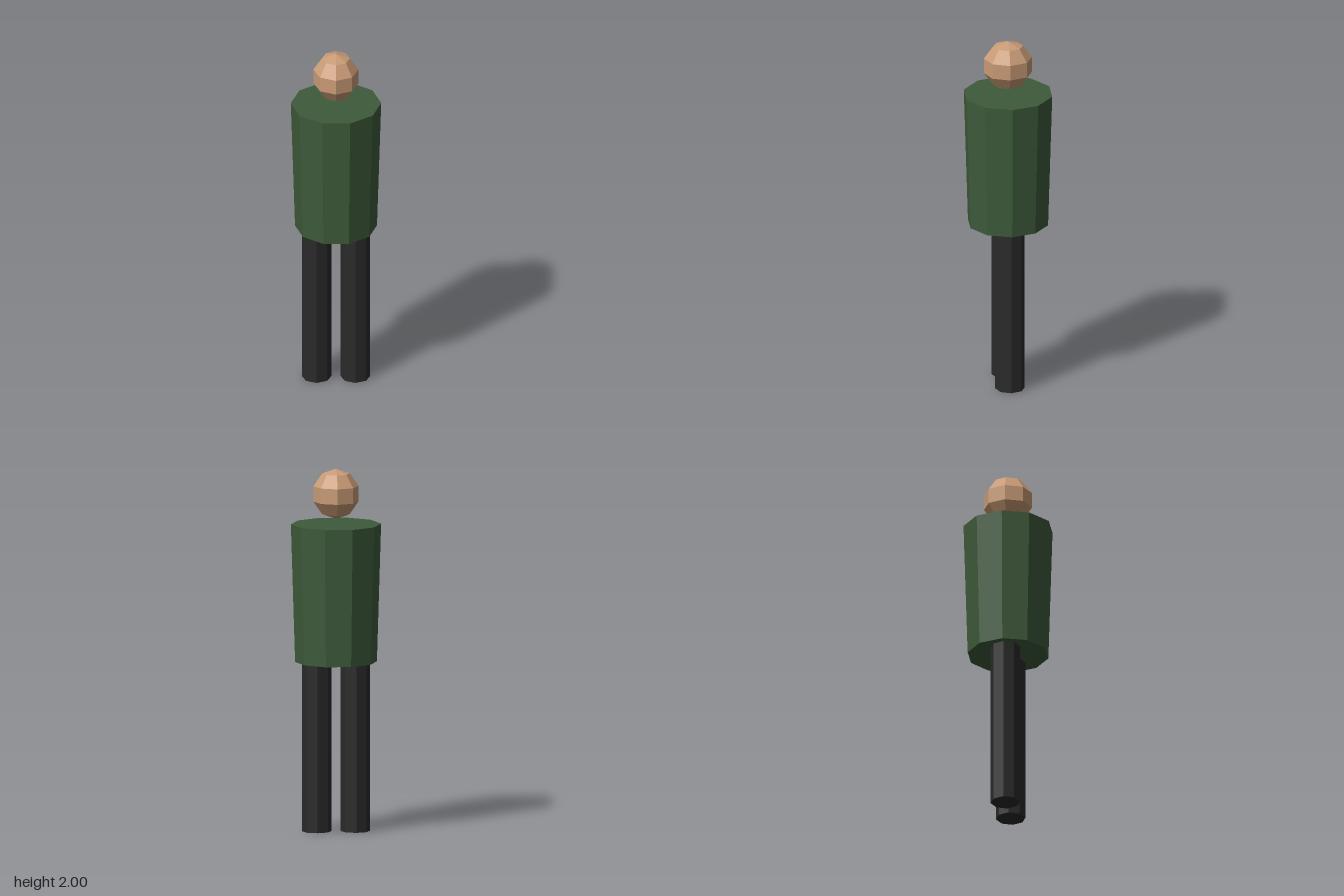
import * as THREE from 'three';

const material = (color) => new THREE.MeshStandardMaterial({ color, flatShading: true });

export function createModel() {
  const model = new THREE.Group();
  model.name = 'figure';

  const add = (name, geometry, mat, x, y) => {
    const mesh = new THREE.Mesh(geometry, mat);
    mesh.name = name;
    mesh.position.set(x, y, 0);
    model.add(mesh);
    return mesh;
  };

  // Legs: two eight-sided columns
  const legHeight = 0.935;
  const legGeometry = new THREE.CylinderGeometry(0.081, 0.081, legHeight, 8);
  const legMaterial = material(0x2a2a2a);
  for (const side of [1, -1]) {
    add(side > 0 ? 'leftLeg' : 'rightLeg', legGeometry, legMaterial, side * 0.106, legHeight / 2);
  }

  // Torso: ten-sided, tapering down, with corners on the x axis
  const torsoHeight = 0.76;
  const torsoGeometry = new THREE.CylinderGeometry(0.247, 0.224, torsoHeight, 10);
  torsoGeometry.rotateY(Math.PI / 2);
  add('torso', torsoGeometry, material(0x3d5a3a), 0, legHeight + torsoHeight / 2);

  // Head: coarse ellipsoid floating above the torso
  const headGeometry = new THREE.SphereGeometry(1, 8, 5);
  headGeometry.scale(0.13, 0.138, 0.14);
  add('head', headGeometry, material(0xc99b76), 0, 1.862);

  return model;
}
